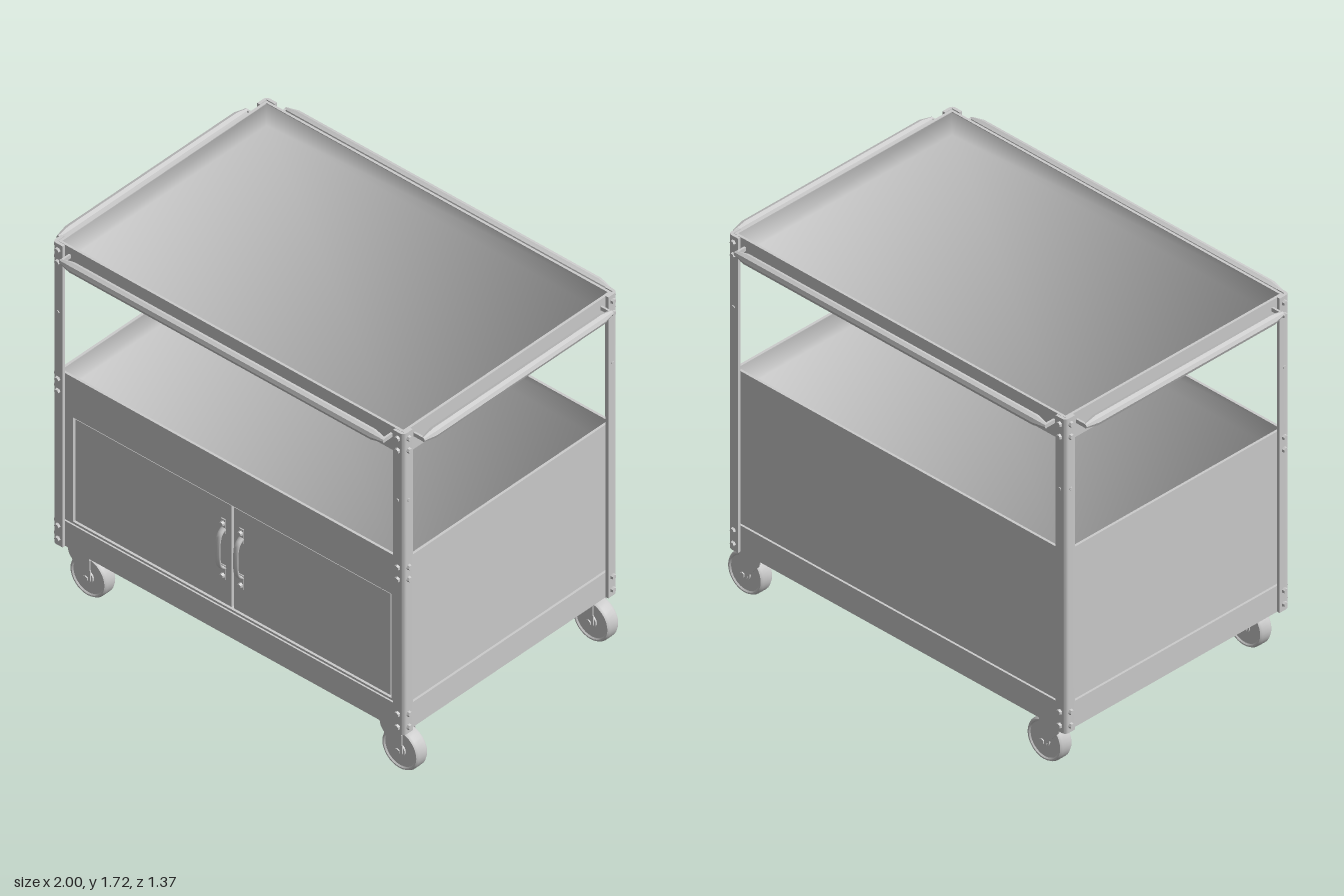
import * as THREE from 'three';
import { toCreasedNormals } from 'three/addons/utils/BufferGeometryUtils.js';

const grey = new THREE.MeshStandardMaterial({ color: 0xcccccc });

function add(parent, name, geometry, x = 0, y = 0, z = 0) {
  const mesh = new THREE.Mesh(geometry, grey);
  mesh.name = name;
  mesh.position.set(x, y, z);
  parent.add(mesh);
  return mesh;
}

const box = (parent, name, w, h, d, x, y, z) =>
  add(parent, name, new THREE.BoxGeometry(w, h, d), x, y, z);

function rect(path, x0, y0, x1, y1) {
  path.moveTo(x0, y0).lineTo(x1, y0).lineTo(x1, y1).lineTo(x0, y1).closePath();
  return path;
}

// Rectangular frame with a hole, lying in XY and extruded along +z
function frame(outer, inner, depth) {
  const shape = rect(new THREE.Shape(), ...outer);
  shape.holes.push(rect(new THREE.Path(), ...inner));
  return new THREE.ExtrudeGeometry(shape, { depth, bevelEnabled: false });
}

// Hex bolt whose head points along +z (or +x when sideways)
function bolt(parent, r, x, y, z, sideways = false) {
  const g = new THREE.CylinderGeometry(r * 0.75, r, 0.018, 6);
  if (sideways) g.rotateZ(-Math.PI / 2);
  else g.rotateX(Math.PI / 2);
  add(parent, 'bolt', toCreasedNormals(g, 0.5), x, y, z);
}

// Inner skin of a tray: floor and four walls softly shaded into each other
function basin(w, d, y0, y1) {
  const signs = [[-1, -1], [1, -1], [1, 1], [-1, 1]];
  const pos = [], nor = [], idx = [0, 2, 1, 0, 3, 2];
  for (const [y, up] of [[y0, 1], [y1, 0]]) {
    for (const [sx, sz] of signs) {
      pos.push(sx * w, y, sz * d);
      nor.push(...new THREE.Vector3(-sx, up, -sz).normalize().toArray());
    }
  }
  for (let i = 0; i < 4; i++) {
    const j = (i + 1) % 4;
    idx.push(i, j, j + 4, i, j + 4, i + 4);
  }
  const g = new THREE.BufferGeometry();
  g.setAttribute('position', new THREE.Float32BufferAttribute(pos, 3));
  g.setAttribute('normal', new THREE.Float32BufferAttribute(nor, 3));
  g.setIndex(idx);
  return g;
}

const W = 0.925, D = 0.615;

function tray(parent, name, bottom, floor, top) {
  const group = new THREE.Group();
  group.name = name;
  const t = 0.012;
  const skirt = frame([-W, -D, W, D], [-W + t, -D + t, W - t, D - t], top - bottom);
  add(group, 'trayWalls', skirt.rotateX(-Math.PI / 2), 0, bottom, 0);
  add(group, 'trayBasin', basin(W - t - 0.002, D - t - 0.002, floor, top - 0.001));
  box(group, 'trayUnderside', 2 * (W - t), 0.004, 2 * (D - t), 0, floor - 0.004, 0);
  parent.add(group);
}

// L-section corner post with a rounded outer edge, outer corner at the origin
function postGeometry(height) {
  const a = 0.055, t = 0.014, r = 0.022;
  const s = new THREE.Shape();
  s.moveTo(-a, 0).lineTo(-a, -t).lineTo(-t, -t).lineTo(-t, -a).lineTo(0, -a).lineTo(0, -r);
  s.quadraticCurveTo(0, 0, -r, 0);
  s.closePath();
  const g = new THREE.ExtrudeGeometry(s, { depth: height, bevelEnabled: false, curveSegments: 6 });
  return toCreasedNormals(g.rotateX(Math.PI / 2), 0.6);
}

// Bar with tapered ends along x, held off the tray by a stub at each end
function rail(parent, half, offset, trayEdge, angle) {
  const group = new THREE.Group();
  group.name = 'rail';
  const profile = [[0, -half], [0.01, -half], [0.023, -half + 0.06],
    [0.023, half - 0.06], [0.01, half], [0, half]].map(p => new THREE.Vector2(...p));
  const bar = toCreasedNormals(new THREE.LatheGeometry(profile, 8), 0.5);
  add(group, 'railBar', bar.rotateZ(Math.PI / 2), 0, 0, offset);
  for (const s of [-1, 1]) {
    box(group, 'railStub', 0.01, 0.018, offset - trayEdge, s * (half - 0.006), 0, (offset + trayEdge) / 2);
  }
  group.position.y = 1.675;
  group.rotation.y = angle;
  parent.add(group);
}

function caster(parent, x, z) {
  const group = new THREE.Group();
  group.name = 'caster';
  group.position.set(x, 0, z);
  const ax = 0.05, ay = 0.097;
  // Wheel with chamfered tread and a raised hub
  const profile = [[0, -0.034], [0.03, -0.034], [0.03, -0.026], [0.08, -0.026], [0.085, -0.032],
    [0.091, -0.032], [0.097, -0.022], [0.097, 0.022], [0.091, 0.032], [0.085, 0.032],
    [0.08, 0.026], [0.03, 0.026], [0.03, 0.034], [0, 0.034]].map(p => new THREE.Vector2(...p));
  const wheel = toCreasedNormals(new THREE.LatheGeometry(profile, 32), 0.6);
  add(group, 'wheel', wheel.rotateX(Math.PI / 2), ax, ay, 0);
  const axle = new THREE.CylinderGeometry(0.013, 0.013, 0.095, 6);
  add(group, 'axle', toCreasedNormals(axle.rotateX(Math.PI / 2), 0.5), ax, ay, 0);
  // Fork: two leaning cheeks under a top plate
  const cheek = new THREE.Shape();
  cheek.moveTo(-0.048, 0.205).lineTo(-0.04, 0.175).lineTo(ax - 0.024, ay);
  cheek.absarc(ax, ay, 0.024, Math.PI, Math.PI * 2, false);
  cheek.lineTo(0.068, 0.205);
  cheek.closePath();
  for (const cz of [-0.042, 0.036]) {
    add(group, 'forkCheek', new THREE.ExtrudeGeometry(cheek, { depth: 0.006, bevelEnabled: false }), 0, 0, cz);
  }
  box(group, 'forkPlate', 0.116, 0.008, 0.084, 0.01, 0.203, 0);
  parent.add(group);
}

export function createModel() {
  const cart = new THREE.Group();
  cart.name = 'serviceCart';

  // Trays and the base pan
  tray(cart, 'topTray', 1.6, 1.608, 1.718);
  tray(cart, 'middleTray', 0.875, 0.965, 1.075);
  box(cart, 'basePan', 2 * W, 0.125, 2 * D, 0, 0.2725, 0);

  // Cabinet body and the front frame around the doors
  box(cart, 'cabinetBody', 1.828, 0.545, 1.182, 0, 0.6075, -0.014);
  add(cart, 'doorFrame', frame([-0.914, 0.335, 0.914, 0.88], [-0.852, 0.345, 0.852, 0.868], 0.03), 0, 0, 0.577);

  // Doors with arched handles
  for (const s of [-1, 1]) {
    const door = new THREE.Group();
    door.name = s > 0 ? 'leftDoor' : 'rightDoor';
    box(door, 'doorPanel', 0.837, 0.507, 0.03, s * 0.4245, 0.6065, 0.588);
    const arc = new THREE.CatmullRomCurve3([[0.53, 0.604], [0.555, 0.63], [0.63, 0.639], [0.705, 0.63], [0.73, 0.604]]
      .map(([y, z]) => new THREE.Vector3(0, y, z)));
    const grip = new THREE.TubeGeometry(arc, 20, 0.007, 8);
    add(door, 'doorHandle', grip.scale(2, 1, 1), s * 0.048, 0, 0);
    for (const y of [0.495, 0.755]) {
      box(door, 'handleFoot', 0.024, 0.07, 0.005, s * 0.048, y + (y < 0.6 ? 0.015 : -0.015), 0.605);
      bolt(door, 0.013, s * 0.048, y, 0.612);
    }
    cart.add(door);
  }

  // Corner posts, bolted on both outer faces
  const corners = [[1, 1], [1, -1], [-1, -1], [-1, 1]];
  const postShape = postGeometry(1.508);
  corners.forEach(([sx, sz], k) => {
    const post = new THREE.Group();
    post.name = 'cornerPost';
    post.position.set(sx * 0.94, 0, sz * 0.632);
    post.rotation.y = k * Math.PI / 2;
    add(post, 'postAngle', postShape, 0, 1.72, 0);
    const heights = [1.69, 1.63, 0.31, 0.245];
    if (sz > 0) heights.push(1.045, 0.985);
    for (const y of heights) {
      bolt(post, 0.015, -0.03, y, 0.002);
      bolt(post, 0.015, 0.002, y, -0.03, true);
    }
    bolt(post, 0.01, -0.03, 1.38, -0.005);
    bolt(post, 0.01, -0.005, 1.38, -0.03, true);
    cart.add(post);
    caster(cart, sx * 0.835, sz * 0.564);
  });

  // Rails around the top tray
  for (const a of [0, Math.PI]) {
    rail(cart, 0.868, 0.664, D, a);
    rail(cart, 0.558, 0.976, W, a + Math.PI / 2);
  }
  return cart;
}
